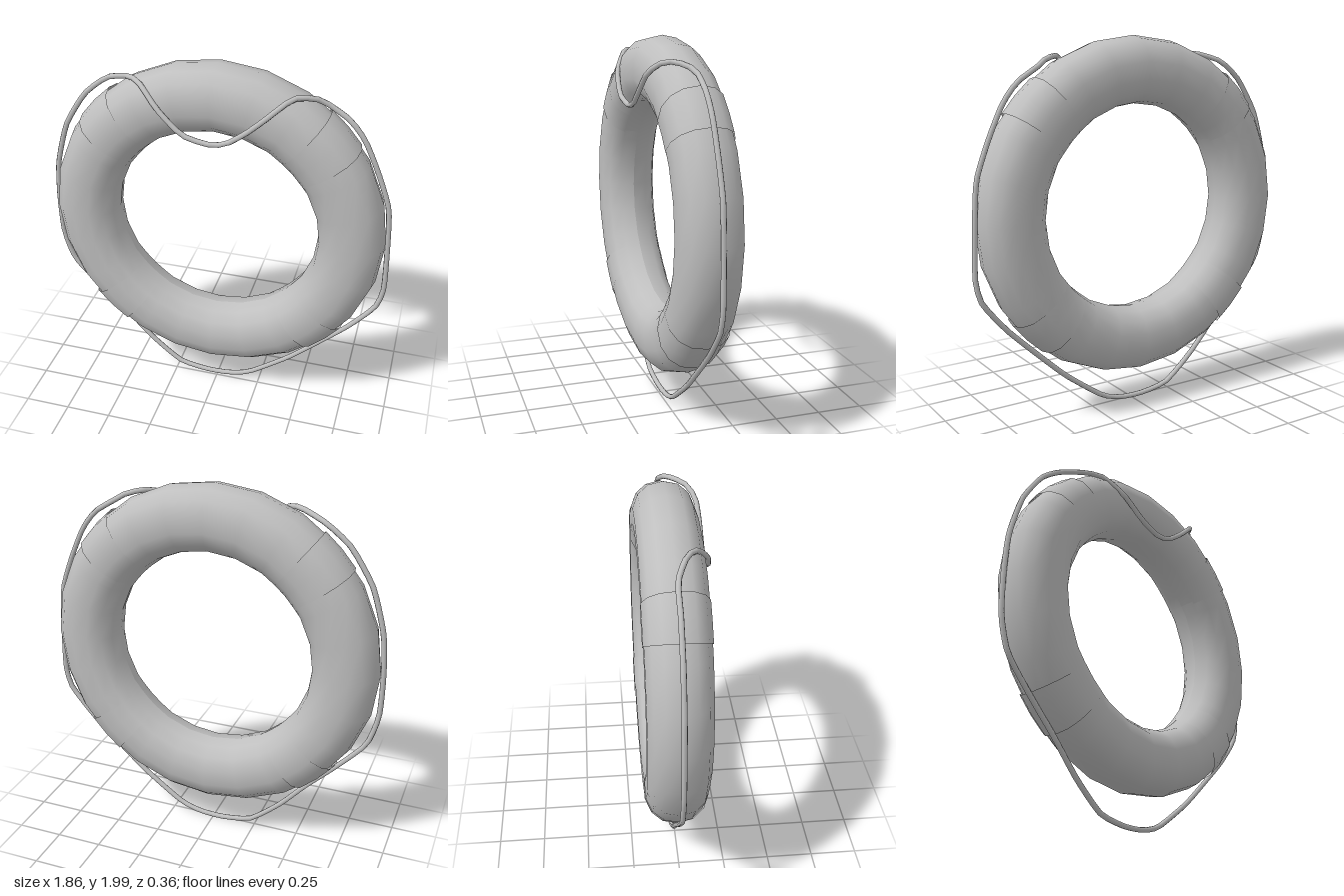
import * as THREE from 'three';

const grey = new THREE.MeshStandardMaterial({ color: 0xbfbfbf, side: THREE.DoubleSide });
grey.name = 'light grey';

// Slightly squared oval section swept about the z axis, angles in degrees from +x
function ringSection(name, grow, start, sweep, segments) {
  const points = [];
  const sides = 14;
  const squared = (v) => Math.sign(v) * Math.pow(Math.abs(v), 0.9);
  for (let i = 0; i <= sides; i++) {
    const a = Math.PI + (i / sides) * Math.PI * 2;
    points.push(new THREE.Vector2(
      0.725 + (0.175 + grow) * squared(Math.cos(a)),
      (0.16 + grow) * squared(Math.sin(a))
    ));
  }
  const rad = Math.PI / 180;
  const geometry = new THREE.LatheGeometry(points, segments, (start + 90) * rad, sweep * rad);
  geometry.rotateX(Math.PI / 2);
  const mesh = new THREE.Mesh(geometry, grey);
  mesh.name = name;
  mesh.position.set(-0.004, 1.1, -0.02);
  return mesh;
}

export function createModel() {
  const model = new THREE.Group();
  model.name = 'lifeRing';

  model.add(ringSection('floatRing', 0, -90, 360, 24));

  // Four thin bands holding the rope
  const bands = { upperLeftBand: 36, upperRightBand: 129, lowerRightBand: 218.5, lowerLeftBand: 308.5 };
  for (const [name, start] of Object.entries(bands)) {
    model.add(ringSection(name, 0.004, start, 15, 2));
  }

  // Grab rope: slack in front at the top, hanging free below
  const z = -0.018;
  const path = [
    [0, 1.65, 0.165], [0.09, 1.665, 0.165], [0.2, 1.745, 0.165], [0.3, 1.835, 0.155],
    [0.36, 1.885, 0.115], [0.41, 1.9, 0.06], [0.49, 1.885, 0.01], [0.55, 1.85, z],
    [0.66, 1.78, z], [0.74, 1.68, z], [0.82, 1.51, z], [0.888, 1.32, z],
    [0.905, 1.1, z], [0.913, 0.83, z], [0.88, 0.7, z], [0.75, 0.54, z],
    [0.6, 0.395, z], [0.42, 0.23, z], [0.2, 0.07, z], [0.08, 0.03, z],
    [-0.06, 0.024, z], [-0.23, 0.055, z], [-0.4, 0.195, z], [-0.55, 0.36, z],
    [-0.71, 0.52, z], [-0.86, 0.69, z], [-0.913, 0.87, z], [-0.917, 1.1, z],
    [-0.9, 1.32, z], [-0.83, 1.56, z], [-0.71, 1.75, z], [-0.58, 1.855, z],
    [-0.44, 1.9, 0.035], [-0.36, 1.885, 0.09], [-0.26, 1.795, 0.15], [-0.13, 1.685, 0.17]
  ].map((p) => new THREE.Vector3(...p));
  const curve = new THREE.CatmullRomCurve3(path, true, 'catmullrom', 0.3);
  const rope = new THREE.Mesh(new THREE.TubeGeometry(curve, 108, 0.014, 8, true), grey);
  rope.name = 'grabRope';
  model.add(rope);

  return model;
}
